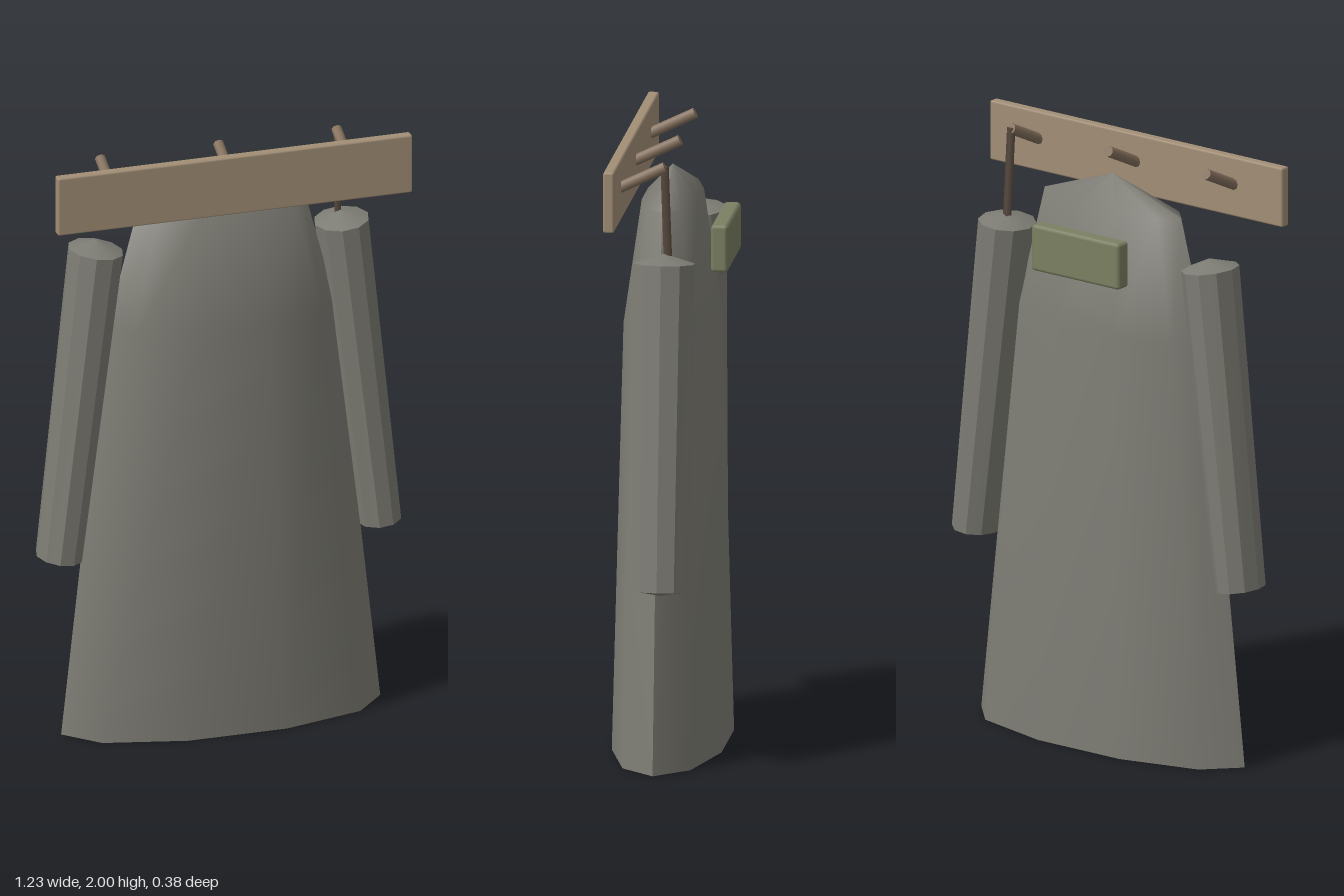
import * as THREE from 'three';
import { toCreasedNormals } from 'three/addons/utils/BufferGeometryUtils.js';
import { RoundedBoxGeometry } from 'three/addons/geometries/RoundedBoxGeometry.js';

const SIDES = 10;
const cloth = new THREE.MeshStandardMaterial({ color: 0x7d7c74 });
const wood = new THREE.MeshStandardMaterial({ color: 0xa28e76 });
const pegWood = new THREE.MeshStandardMaterial({ color: 0x85715d });
const cordBrown = new THREE.MeshStandardMaterial({ color: 0x5a4c40 });
const tagGreen = new THREE.MeshStandardMaterial({ color: 0x7b8062 });

// Skin oval rings given bottom to top as [y, radiusX, radiusZ]; zero radius closes an end
function loft(rings, crease) {
  const pos = [];
  const point = ([y, rx, rz], i) => {
    const t = (i % SIDES) / SIDES * Math.PI * 2;
    return [rx * Math.cos(t), y, rz * Math.sin(t)];
  };
  for (let r = 0; r < rings.length - 1; r++) {
    const low = rings[r], up = rings[r + 1];
    for (let i = 0; i < SIDES; i++) {
      const a = point(low, i), b = point(low, i + 1);
      const c = point(up, i), d = point(up, i + 1);
      if (low[1] > 0) pos.push(...a, ...c, ...b);
      if (up[1] > 0) pos.push(...b, ...c, ...d);
    }
  }
  const g = new THREE.BufferGeometry();
  g.setAttribute('position', new THREE.Float32BufferAttribute(pos, 3));
  return toCreasedNormals(g, crease);
}

// Straight rod between two points
function rod(from, to, radius, sides, material) {
  const a = new THREE.Vector3(...from), b = new THREE.Vector3(...to);
  const dir = b.clone().sub(a);
  const m = new THREE.Mesh(new THREE.CylinderGeometry(radius, radius, dir.length(), sides), material);
  m.position.copy(a).add(b).multiplyScalar(0.5);
  m.quaternion.setFromUnitVectors(new THREE.Vector3(0, 1, 0), dir.normalize());
  return m;
}

export function createModel() {
  const model = new THREE.Group();
  const add = (name, mesh) => {
    mesh.name = name;
    model.add(mesh);
    return mesh;
  };

  // Flattened, tapering coat body with a low peak at the collar
  add('coatBody', new THREE.Mesh(loft([
    [0, 0, 0], [0, 0.54, 0.187], [1.4, 0.385, 0.153], [1.8, 0.28, 0.095], [1.9, 0, 0],
  ], 1.1), cloth)).position.z = 0.012;

  // Sleeves hang outwards from the shoulders
  const sleeveGeo = loft([
    [-0.545, 0, 0], [-0.53, 0.075, 0.092], [0.53, 0.09, 0.102], [0.562, 0, 0],
  ], 0.5);
  for (const side of [1, -1]) {
    const sleeve = add(side > 0 ? 'leftSleeve' : 'rightSleeve', new THREE.Mesh(sleeveGeo, cloth));
    sleeve.position.set(side * 0.478, 1.138, -0.01);
    sleeve.rotation.z = side * 0.118;
  }

  // Wall board
  add('rackBoard', new THREE.Mesh(new RoundedBoxGeometry(1.2, 0.2, 0.036, 1, 0.007), wood))
    .position.set(0, 1.9, 0.148);

  // Three upward-tilted pegs
  for (const x of [-0.4, 0, 0.4]) {
    add('peg', rod([x, 1.905, 0.14], [x, 1.978, -0.012], 0.018, 8, pegWood));
  }

  // Cord from the left peg to the shoulder
  add('hangingCord', rod([0.4, 1.98, -0.01], [0.408, 1.67, -0.022], 0.014, 4, cordBrown));

  // Padded patch behind the upper back
  add('backPatch', new THREE.Mesh(new RoundedBoxGeometry(0.36, 0.156, 0.056, 1, 0.012), tagGreen))
    .position.set(0, 1.662, -0.16);

  return model;
}
